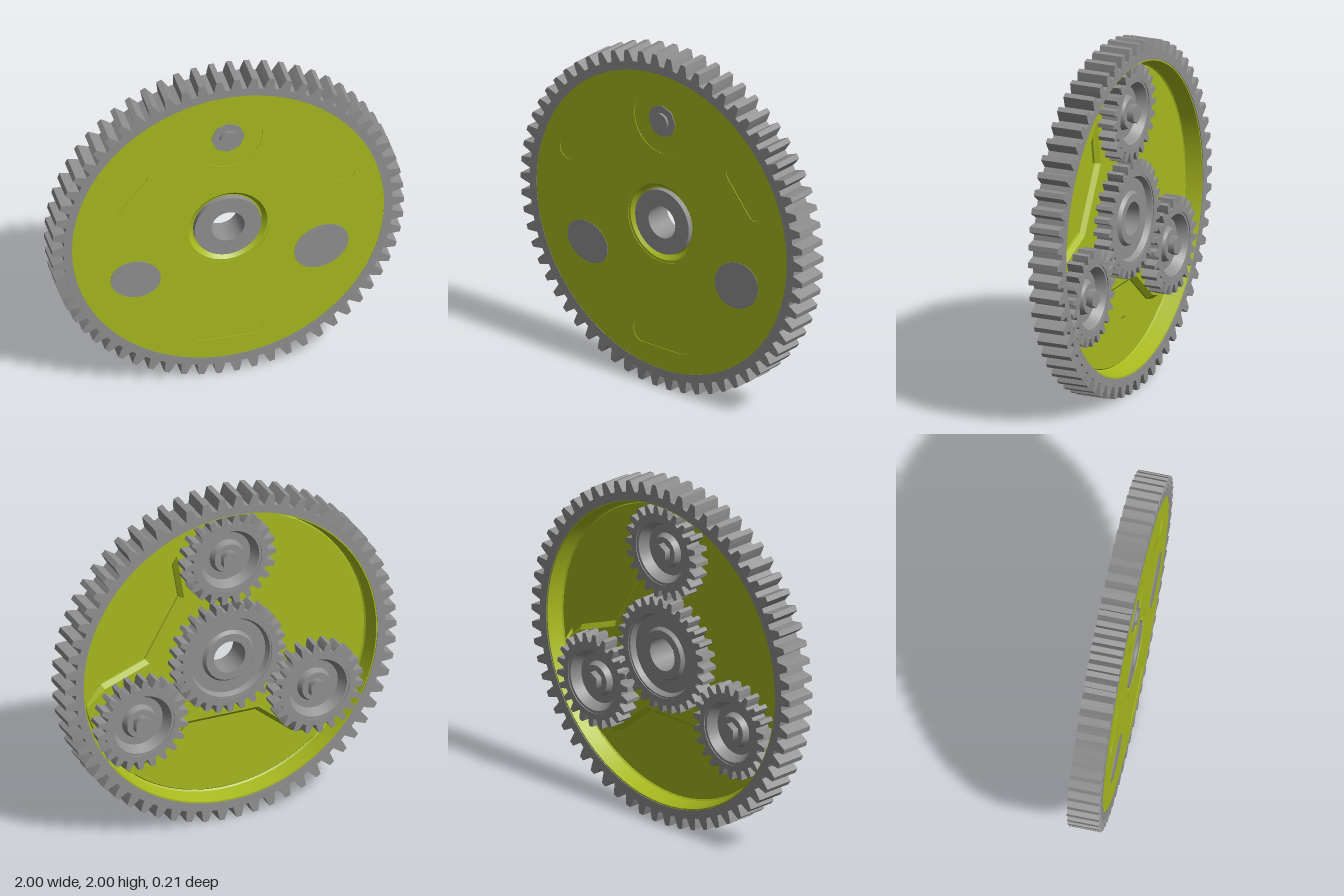
import * as THREE from 'three';

const green = new THREE.MeshStandardMaterial({ color: 0xa8ba1e, side: THREE.DoubleSide });
green.name = 'limeGreen';
const grey = new THREE.MeshStandardMaterial({ color: 0x919191 });
grey.name = 'steelGrey';

const PLANET_R = 0.61; // distance of the small gears from the centre
const rad = THREE.MathUtils.degToRad;

// Toothed outline with a round bore
function gearShape(teeth, root, tip, bore) {
  const pts = [];
  const step = (Math.PI * 2) / teeth;
  const mid = (root + tip) / 2;
  for (let i = 0; i < teeth; i++) {
    for (const [f, r] of [[-0.34, root], [-0.25, mid], [-0.15, tip], [0.15, tip], [0.25, mid], [0.34, root]]) {
      const a = (i + f) * step;
      pts.push(new THREE.Vector2(r * Math.cos(a), r * Math.sin(a)));
    }
  }
  const s = new THREE.Shape(pts);
  s.holes.push(circle(0, 0, bore));
  return s;
}

function circle(x, y, r) {
  return new THREE.Path().absarc(x, y, r, 0, Math.PI * 2, true);
}

// Rounded slot: centre, angle of its long axis, half length and half width
function slot(x, y, angle, hl, hw) {
  const pts = [];
  const r = hw - 0.01;
  for (const [su, sv, start] of [[1, 1, 0], [-1, 1, 90], [-1, -1, 180], [1, -1, 270]]) {
    for (let k = 0; k <= 4; k++) {
      const a = rad(start + k * 22.5);
      pts.push(new THREE.Vector2(su * (hl - r) + r * Math.cos(a), sv * (hw - r) + r * Math.sin(a))
        .rotateAround(new THREE.Vector2(), angle).add(new THREE.Vector2(x, y)));
    }
  }
  return new THREE.Path(pts.reverse());
}

// Extrude a shape between two z positions
function slab(name, shape, z0, z1, mat, segments = 32) {
  const g = new THREE.ExtrudeGeometry(shape, { depth: z1 - z0, bevelEnabled: false, curveSegments: segments });
  g.translate(0, 0, z0);
  return named(name, g, mat);
}

// Turned part on the z axis; profile is [radius, z], from back to front
function turned(name, profile, mat, segments = 40) {
  const pts = [];
  // Doubled points keep the profile corners sharp
  profile.forEach(([r, z], i) => {
    pts.push(new THREE.Vector2(r, z));
    if (i > 0 && i < profile.length - 1) pts.push(new THREE.Vector2(r, z));
  });
  const g = new THREE.LatheGeometry(pts, segments);
  g.rotateX(Math.PI / 2);
  return named(name, g, mat);
}

// Prism along z
function prism(name, r, z0, z1, sides, mat) {
  const g = new THREE.CylinderGeometry(r, r, z1 - z0, sides);
  g.rotateX(Math.PI / 2).translate(0, 0, (z0 + z1) / 2);
  return named(name, g, mat);
}

function named(name, geometry, mat) {
  const m = new THREE.Mesh(geometry, mat);
  m.name = name;
  return m;
}

// Raised three-armed bed under the gears, with a sloped pocket between the arms
function gearBed() {
  const s = new THREE.Shape().absarc(0, 0, 0.87, 0, Math.PI * 2, false);
  s.holes.push(circle(0, 0, 0.2));
  for (const deg of [30, 150, 270]) {
    const pts = [[0.42, -0.2], [0.42, 0.2], [0.6, 0.42], [0.63, 0.53]];
    for (let k = 38; k >= -38; k -= 4) pts.push([0.83 * Math.cos(rad(k)), 0.83 * Math.sin(rad(k))]);
    pts.push([0.63, -0.53], [0.6, -0.42]);
    s.holes.push(new THREE.Path(pts.map(([u, v]) =>
      new THREE.Vector2(u, v).rotateAround(new THREE.Vector2(), rad(deg)))));
  }
  const g = new THREE.ExtrudeGeometry(s, {
    depth: 0.03, bevelThickness: 0.025, bevelSize: 0.025, bevelOffset: -0.025, bevelSegments: 1, curveSegments: 64,
  });
  g.translate(0, 0, 0.03);
  return named('gearBed', g, green);
}

// Small gear with a dished back and a hex bolt
function planetGear() {
  const p = new THREE.Group();
  p.name = 'planetGear';
  p.add(slab('planetTeeth', gearShape(22, 0.225, 0.275, 0.19), -0.09, 0.03, grey));
  p.add(turned('planetDish', [
    [0, -0.065], [0.085, -0.065], [0.1, -0.03], [0.145, -0.03], [0.175, -0.085],
    [0.2, -0.085], [0.2, 0.029], [0.165, 0.03], [0.165, 0.078], [0, 0.078],
  ], grey));
  p.add(prism('planetBolt', 0.055, -0.104, -0.03, 6, grey));
  return p;
}

export function createModel() {
  const model = new THREE.Group();
  model.name = 'planetaryGearWheel';
  const wheel = new THREE.Group();
  wheel.name = 'wheel';
  wheel.position.y = 1;
  model.add(wheel);

  // Outer toothed rim and its green lining
  wheel.add(slab('outerRim', gearShape(62, 0.935, 1, 0.887), -0.09, 0.09, grey, 64));
  wheel.add(turned('rimLining', [
    [0.82, 0.042], [0.86, 0.005], [0.88, -0.086], [0.89, -0.086],
  ], green, 72));

  // Front plate with slots, hub opening and upper axle opening
  const plate = new THREE.Shape().absarc(0, 0, 0.892, 0, Math.PI * 2, false);
  plate.holes.push(
    circle(0, 0, 0.24), circle(0, PLANET_R, 0.195),
    slot(0, -0.69, 0, 0.2, 0.07),
    slot(-0.59, 0.34, rad(51), 0.17, 0.06),
    slot(0.59, 0.34, rad(129), 0.17, 0.06),
  );
  wheel.add(slab('frontPlate', plate, 0.042, 0.0885, green, 64));

  // Recessed collars around the hub and the upper axle
  wheel.add(turned('hubCollar', [
    [0.18, 0.03], [0.245, 0.03], [0.245, 0.075], [0.215, 0.055], [0.18, 0.055],
  ], green));
  const axleCollar = turned('axleCollar', [
    [0.15, 0.03], [0.205, 0.03], [0.205, 0.06], [0.15, 0.06],
  ], green);
  axleCollar.position.y = PLANET_R;
  wheel.add(axleCollar);

  wheel.add(gearBed());

  // Central gear and bored hub
  wheel.add(slab('sunGear', gearShape(28, 0.29, 0.335, 0.25), -0.09, 0.03, grey));
  wheel.add(turned('hub', [
    [0.095, 0.088], [0.095, -0.075], [0.14, -0.075], [0.155, -0.055], [0.225, -0.055], [0.24, -0.085],
    [0.26, -0.085], [0.26, 0.029], [0.19, 0.03], [0.19, 0.088], [0.095, 0.088],
  ], grey));

  // Three small gears
  for (const deg of [90, 210, 330]) {
    const p = planetGear();
    p.position.set(PLANET_R * Math.cos(rad(deg)), PLANET_R * Math.sin(rad(deg)), 0);
    p.rotation.z = rad(deg - 90);
    wheel.add(p);
  }

  // Nut and bolt end on the front of the upper axle
  const nut = new THREE.Group();
  nut.name = 'frontNut';
  nut.position.y = PLANET_R;
  nut.add(prism('nut', 0.095, 0.07, 0.09, 8, grey));
  nut.add(prism('boltEnd', 0.05, 0.08, 0.105, 8, grey));
  wheel.add(nut);

  // Flat grey patches on the front plate
  for (const [x, y, rx, ry, tilt] of [[-0.525, -0.265, 0.145, 0.12, -0.3], [0.53, -0.23, 0.16, 0.135, 0.5]]) {
    const s = new THREE.Shape().absellipse(0, 0, rx, ry, 0, Math.PI * 2, false, tilt);
    const patch = slab('axlePatch', s, 0.086, 0.091, grey, 12);
    patch.position.set(x, y, 0);
    wheel.add(patch);
  }
  return model;
}
